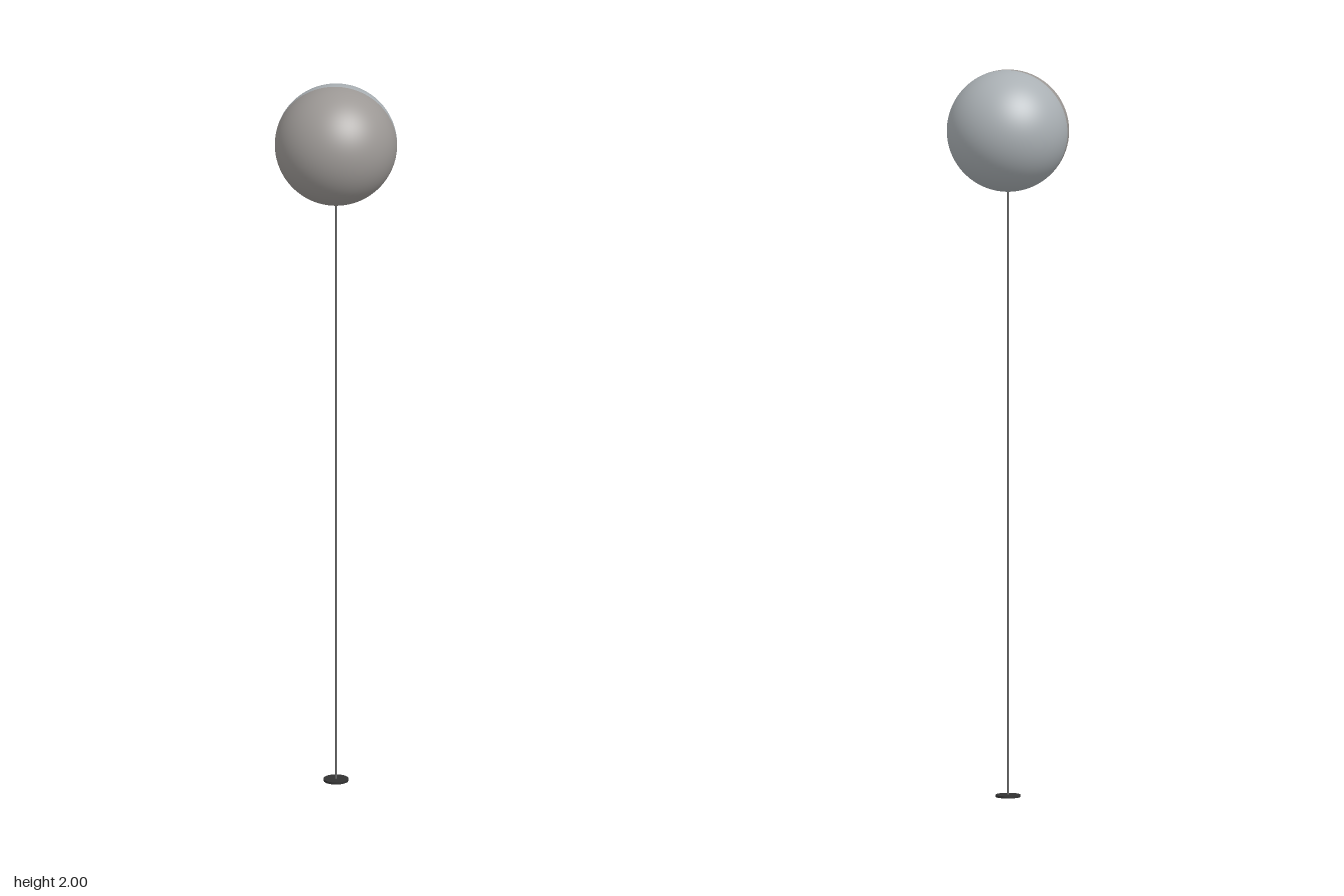
import * as THREE from 'three';

const BALL_RADIUS = 1 / 6;
const BALL_Y = 2 - BALL_RADIUS;
const BASE_HEIGHT = 0.006;

function addPart(group, name, geometry, color, y) {
  const material = new THREE.MeshStandardMaterial({ color, side: THREE.DoubleSide });
  const mesh = new THREE.Mesh(geometry, material);
  mesh.name = name;
  mesh.position.y = y;
  group.add(mesh);
}

// Half ball with its poles on the x axis, split along the z = 0 plane
function halfBall(startAngle) {
  return new THREE.SphereGeometry(BALL_RADIUS, 48, 48, startAngle, Math.PI).rotateZ(Math.PI / 2);
}

export function createModel() {
  const group = new THREE.Group();
  group.name = 'ballOnPole';

  // Thin round foot
  addPart(group, 'base', new THREE.CylinderGeometry(0.034, 0.034, BASE_HEIGHT, 32), 0x333333, BASE_HEIGHT / 2);

  // Slender pole, from the foot to just inside the ball
  const poleTop = BALL_Y - BALL_RADIUS + 0.005;
  addPart(group, 'pole', new THREE.CylinderGeometry(0.0034, 0.0034, poleTop, 16), 0x666666, poleTop / 2);

  // Two-tone ball: warm grey front, cool grey back
  addPart(group, 'ballFront', halfBall(0), 0x9c9895, BALL_Y);
  addPart(group, 'ballBack', halfBall(Math.PI), 0xaab0b4, BALL_Y);

  return group;
}
